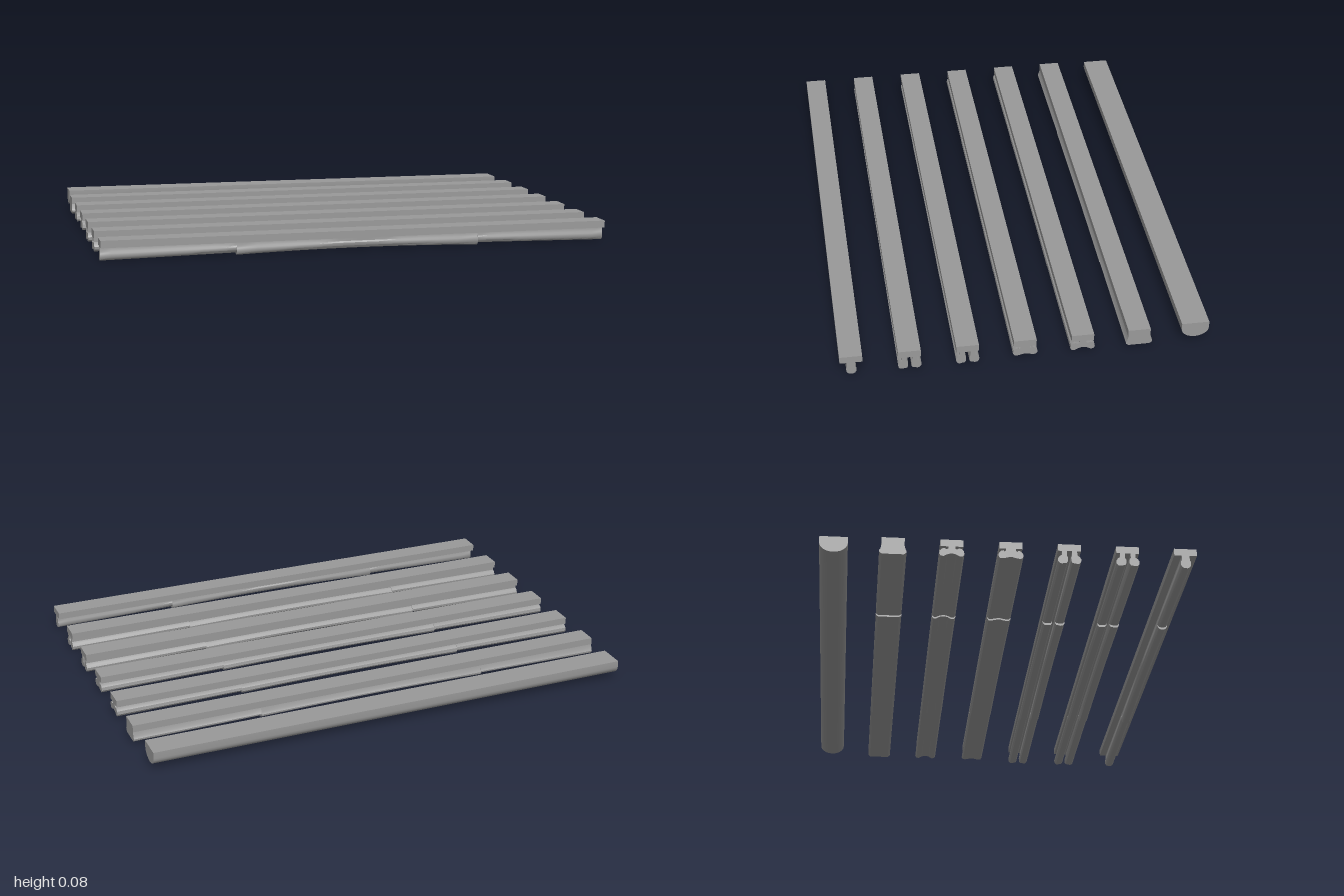
import * as THREE from 'three';
import { toCreasedNormals } from 'three/addons/utils/BufferGeometryUtils.js';

const FLANGE_Y = 0.053, TOP_Y = 0.081, SPLIT = 0.48;
const steel = new THREE.MeshStandardMaterial({ color: 0x999999 });
steel.name = 'grey';

// Mirrors a half outline (top to bottom) about the middle line.
const mirrored = (half) => [...half, ...half.map(([u, y]) => [-u, y]).reverse()];

// Extrudes an outline (u = -z, y) along x and bends its lower part by lift(x).
function bar(name, outline, x0, x1, lift) {
  const shape = new THREE.Shape(outline.map(([u, y]) => new THREE.Vector2(u, y)));
  const geo = new THREE.ExtrudeGeometry(shape, { depth: x1 - x0, steps: 12, bevelEnabled: false });
  geo.rotateY(Math.PI / 2).translate(x0, 0, 0);
  const p = geo.attributes.position;
  for (let i = 0; i < p.count; i++) {
    const y = p.getY(i);
    const w = THREE.MathUtils.clamp((FLANGE_Y - y) / FLANGE_Y, 0, 1);
    p.setY(i, y + lift(p.getX(i)) * w);
  }
  const mesh = new THREE.Mesh(toCreasedNormals(geo, 0.6), steel);
  mesh.name = name;
  return mesh;
}

// The middle third arches upwards; the outer thirds drop towards their ends.
const archLift = (x) => 0.009 * (1 - (x / SPLIT) ** 2);
const endLift = (x) => 0.009 * (1 - (Math.abs(x) - SPLIT) / (1 - SPLIT));

// Lower outlines
const singleBulb = mirrored([
  [0.015, 0.054], [0.015, 0.034], [0.019, 0.027], [0.019, 0.013], [0.014, 0.004], [0.006, 0],
]);
const leg = (inner) => [
  [inner, 0.054], [inner, 0.034], [0.006, 0.027], [0.006, 0.011], [0.011, 0.003], [0.02, 0.002],
  [0.028, 0], [0.036, 0.001], [0.043, 0.009], [0.044, 0.02], [0.038, 0.03], [0.029, 0.036], [0.029, 0.054],
];
const flipped = (outline) => outline.map(([u, y]) => [-u, y]);
const wings = (neck, waist) => mirrored([
  [neck, 0.054], [neck, 0.045], [neck + 0.006, 0.041], [0.028, 0.046], [0.037, 0.043], [0.045, 0.035],
  [0.047, 0.022], [0.041, 0.013], [0.031, 0.012], [0.016, waist - 0.003], [0.006, waist],
]);
const block = mirrored([
  [0.042, 0.054], [0.046, 0.035], [0.051, 0.026], [0.05, 0.019], [0.041, 0.012], [0.02, 0.012],
]);

const rails = [
  { name: 'singleRail', z: 0.662, parts: [singleBulb] },
  { name: 'wideForkRail', z: 0.443, parts: [leg(0.011), flipped(leg(0.011))] },
  { name: 'narrowForkRail', z: 0.224, parts: [leg(0.01), flipped(leg(0.01))] },
  { name: 'thickWingRail', z: 0.005, parts: [wings(0.018, 0.018)] },
  { name: 'thinWingRail', z: -0.215, parts: [wings(0.013, 0.023)] },
  { name: 'blockRail', z: -0.433, parts: [block] },
];

export function createModel() {
  const model = new THREE.Group();
  model.name = 'railSet';

  for (const { name, z, parts } of rails) {
    const rail = new THREE.Group();
    rail.name = name;
    rail.position.z = z;

    // Flat strip on top
    const flange = new THREE.Mesh(new THREE.BoxGeometry(2, TOP_Y - FLANGE_Y, 0.086), steel);
    flange.name = 'flange';
    flange.position.y = (TOP_Y + FLANGE_Y) / 2;
    rail.add(flange);

    // Three bent sections below it
    for (const outline of parts) {
      rail.add(bar('rightSection', outline, -1, -SPLIT, endLift));
      rail.add(bar('middleSection', outline, -SPLIT, SPLIT, archLift));
      rail.add(bar('leftSection', outline, SPLIT, 1, endLift));
    }
    model.add(rail);
  }

  // Half-round rail at the back
  const round = [[-0.053, TOP_Y], [-0.053, 0.055]];
  for (let i = 1; i < 12; i++) {
    const a = Math.PI * (1 + i / 12);
    round.push([0.053 * Math.cos(a), 0.055 + 0.038 * Math.sin(a)]);
  }
  round.push([0.053, 0.055], [0.053, TOP_Y]);
  const halfRound = bar('halfRoundRail', round, -0.99, 0.99, () => 0);
  halfRound.position.z = -0.653;
  model.add(halfRound);

  return model;
}
